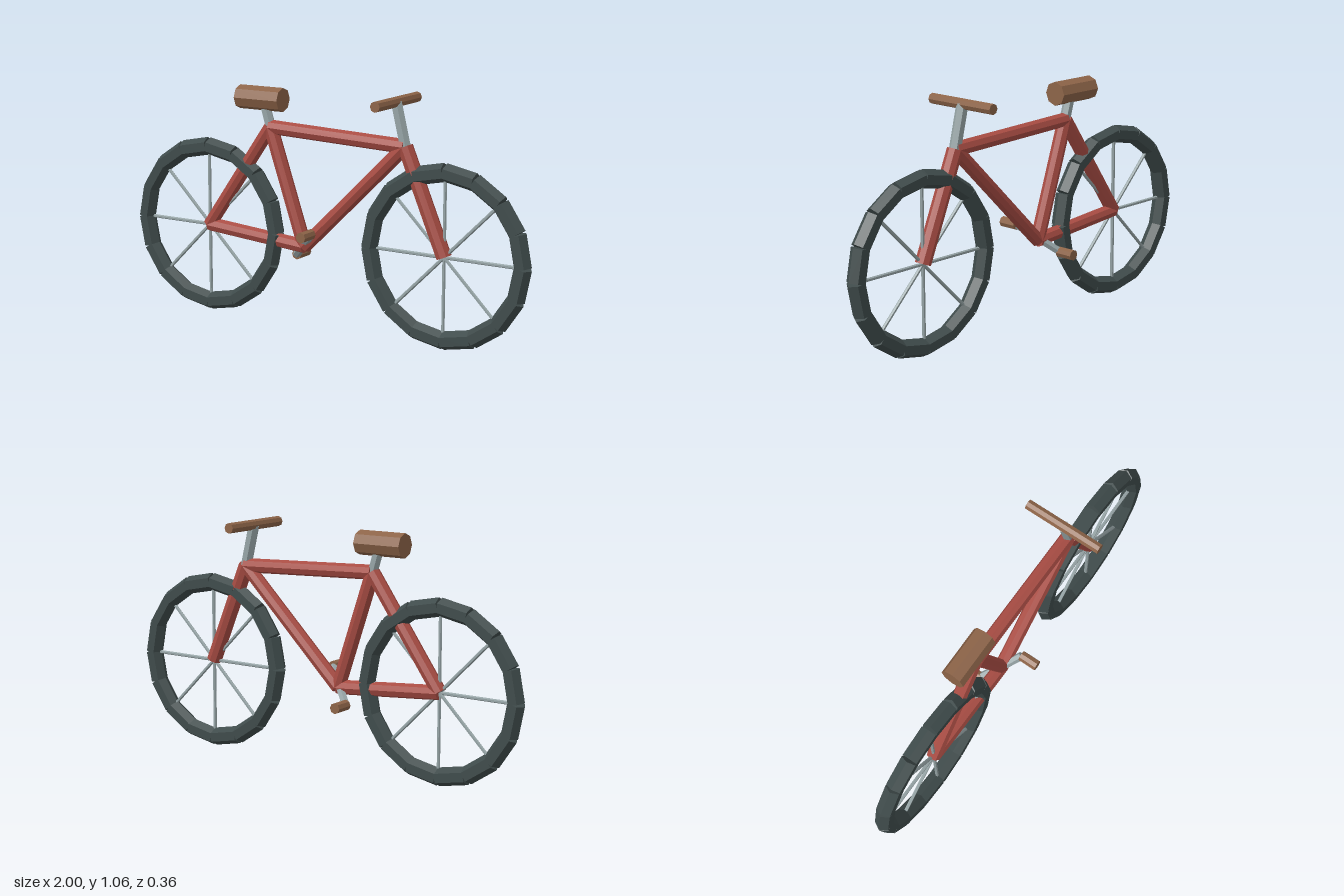
import * as THREE from 'three';

const mat = (name, color) => {
  const m = new THREE.MeshStandardMaterial({ color, flatShading: true });
  m.name = name;
  return m;
};

export function createModel() {
  const rubber = mat('dark rubber', 0x3f4b4b);
  const red = mat('red paint', 0xa84c43);
  const steel = mat('grey steel', 0x96a4a6);
  const leather = mat('brown leather', 0x8d6448);

  // A straight faceted rod between two points, with a corner in the bicycle's plane
  const rod = (name, a, b, radius, sides, material) => {
    const p = new THREE.Vector3(...a);
    const q = new THREE.Vector3(...b);
    const dir = q.clone().sub(p);
    const geo = new THREE.CylinderGeometry(radius, radius, dir.length(), sides, 1, false, Math.PI / 2);
    const mesh = new THREE.Mesh(geo, material);
    mesh.name = name;
    mesh.position.copy(p).add(q).multiplyScalar(0.5);
    mesh.quaternion.setFromUnitVectors(new THREE.Vector3(0, 1, 0), dir.normalize());
    return mesh;
  };

  // Wheel: sixteen straight tyre segments and eight spokes
  const makeWheel = (name, x) => {
    const wheel = new THREE.Group();
    wheel.name = name;
    const R = 0.36;
    const at = (i, n) => {
      const t = (i / n) * Math.PI * 2;
      return [R * Math.cos(t), R * Math.sin(t), 0];
    };
    for (let i = 0; i < 16; i++) {
      wheel.add(rod('tyreSegment', at(i, 16), at(i + 1, 16), 0.04, 6, rubber));
    }
    for (let i = 0; i < 8; i++) {
      wheel.add(rod('spoke', [0, 0, 0], at(i, 8), 0.008, 6, steel));
    }
    wheel.position.set(x, 0.4, 0);
    return wheel;
  };

  const bike = new THREE.Group();
  bike.name = 'bicycle';
  bike.add(makeWheel('rearWheel', -0.6), makeWheel('frontWheel', 0.6));

  // Frame joints
  const rearHub = [-0.6, 0.4, 0];
  const frontHub = [0.6, 0.4, 0];
  const crankAxle = [-0.09, 0.36, 0];
  const seatJoint = [-0.265, 0.875, 0];
  const headJoint = [0.41, 0.85, 0];

  // Frame tubes
  const frame = new THREE.Group();
  frame.name = 'frame';
  const tubes = [
    ['chainStay', rearHub, crankAxle],
    ['seatStay', rearHub, seatJoint],
    ['seatTube', crankAxle, seatJoint],
    ['topTube', seatJoint, headJoint],
    ['downTube', crankAxle, headJoint],
  ];
  for (const [name, a, b] of tubes) frame.add(rod(name, a, b, 0.032, 8, red));
  frame.add(rod('fork', headJoint, frontHub, 0.034, 8, red));
  bike.add(frame);

  // Saddle and handlebar
  bike.add(
    rod('seatPost', seatJoint, [-0.3, 0.99, 0], 0.024, 6, steel),
    rod('saddle', [-0.425, 0.998, 0], [-0.2, 0.998, 0], 0.053, 8, leather),
    rod('stem', headJoint, [0.365, 1.033, 0], 0.026, 6, steel),
    rod('handlebar', [0.365, 1.034, -0.178], [0.365, 1.034, 0.178], 0.023, 8, leather),
  );

  // Crank with a pedal at each end
  bike.add(
    rod('crank', [-0.17, 0.302, -0.06], [-0.02, 0.432, 0.06], 0.019, 6, steel),
    rod('rightPedal', [-0.17, 0.301, -0.142], [-0.17, 0.301, -0.058], 0.024, 8, leather),
    rod('leftPedal', [-0.02, 0.433, 0.058], [-0.02, 0.433, 0.142], 0.024, 8, leather),
  );

  return bike;
}
